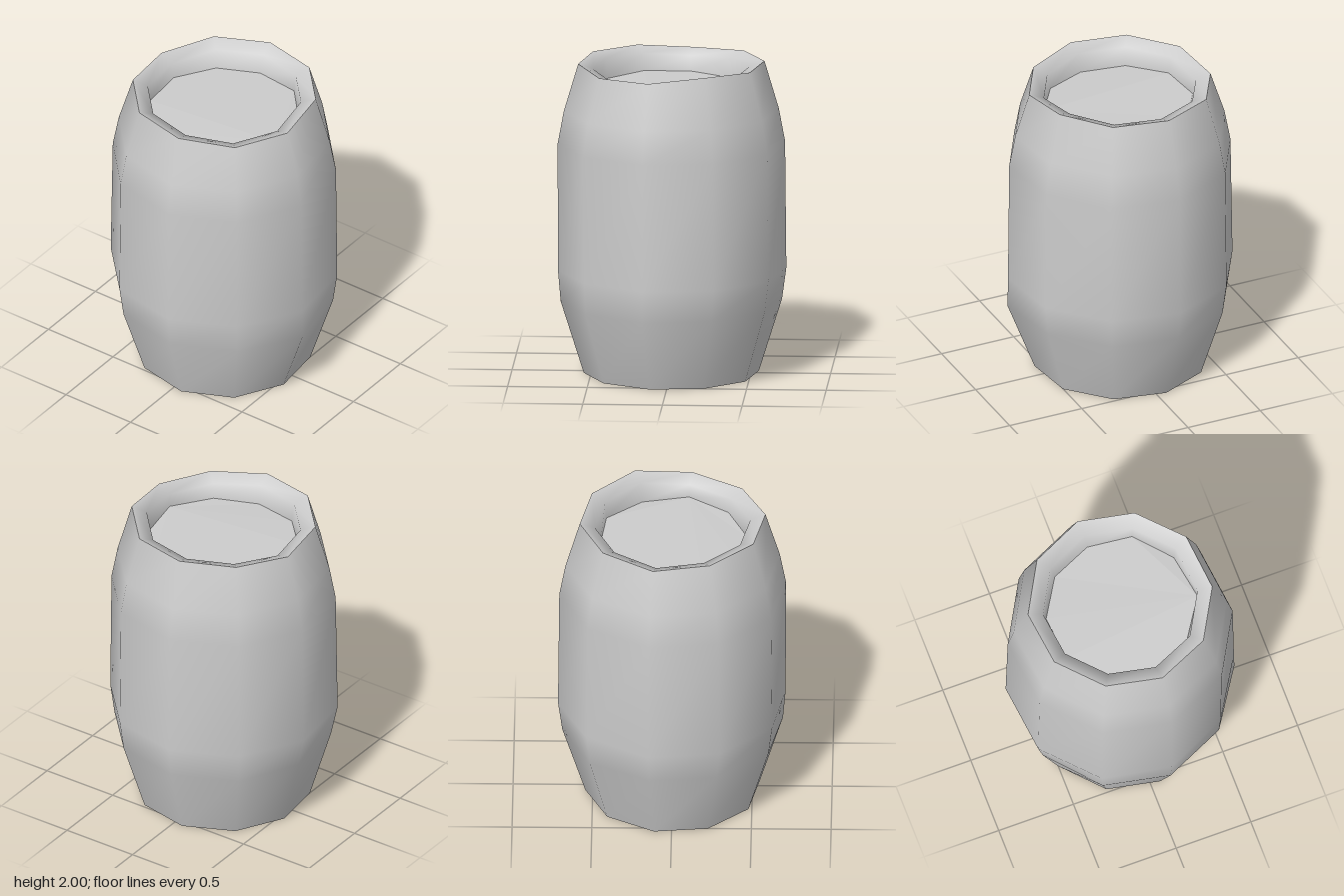
import * as THREE from 'three';

const SIDES = 10;
const OFFSET = THREE.MathUtils.degToRad(11.5);

// One uneven ring of points; dr and dy nudge single corners.
function ring(r, y, dr = [], dy = []) {
  return Array.from({ length: SIDES }, (_, j) => {
    const a = OFFSET + (j * 2 * Math.PI) / SIDES;
    const rad = r + (dr[j] || 0);
    return [rad * Math.cos(a), y + (dy[j] || 0), rad * Math.sin(a)];
  });
}

// Smooth skin between successive rings.
function loft(rings) {
  const index = [];
  for (let i = 0; i < rings.length - 1; i++) {
    for (let j = 0; j < SIDES; j++) {
      const k = (j + 1) % SIDES;
      const a = i * SIDES + j, b = i * SIDES + k;
      const c = a + SIDES, d = b + SIDES;
      index.push(a, c, b, b, c, d);
    }
  }
  return build(rings.flat(), index);
}

// Fan closing one ring, facing up or down.
function cap(points, up) {
  const index = [];
  for (let j = 1; j < SIDES - 1; j++) {
    if (up) index.push(0, j + 1, j);
    else index.push(0, j, j + 1);
  }
  const geometry = build(points, index).toNonIndexed();
  geometry.computeVertexNormals();
  return geometry;
}

function build(points, index) {
  const geometry = new THREE.BufferGeometry();
  geometry.setAttribute('position', new THREE.Float32BufferAttribute(points.flat(), 3));
  geometry.setIndex(index);
  geometry.computeVertexNormals();
  return geometry;
}

export function createModel() {
  const group = new THREE.Group();
  group.name = 'barrel';
  const grey = new THREE.MeshStandardMaterial({ color: 0xcccccc });
  grey.name = 'plain grey';

  const add = (name, geometry) => {
    const mesh = new THREE.Mesh(geometry, grey);
    mesh.name = name;
    group.add(mesh);
  };

  // Hand-shaped unevenness, corner by corner
  const rimWave = [-0.01, -0.015, 0.005, 0.01, 0.005, -0.015, 0.005, 0.01, 0.01, 0.025];
  const lidWave = [0.01, 0, -0.01, -0.005, 0.005, 0, -0.005, 0, 0.005, 0];
  const lidRadius = [0.02, 0, 0, 0.005, 0.005, 0, -0.01, -0.015, 0.01, 0.005];

  const base = ring(0.55, 0);
  const rim = ring(0.585, 1.975, [], rimWave);
  const lip = ring(0.49, 1.94, [], rimWave);
  const lid = ring(0.47, 1.83, lidRadius, lidWave);

  // Bulging outer wall
  add('body', loft([
    base,
    ring(0.695, 0.46, [0.03, 0, 0, 0, -0.01, -0.015]),
    ring(0.722, 0.66, [0, -0.015, -0.01, 0, 0.005, 0.005]),
    ring(0.714, 1.47),
    ring(0.675, 1.68),
    rim,
  ]));
  // Sloping rim and the recessed wall inside it
  add('innerRim', loft([rim, lip, lid]));
  // Sunken lid and flat underside
  add('lid', cap(lid, true));
  add('base', cap(base, false));
  return group;
}
